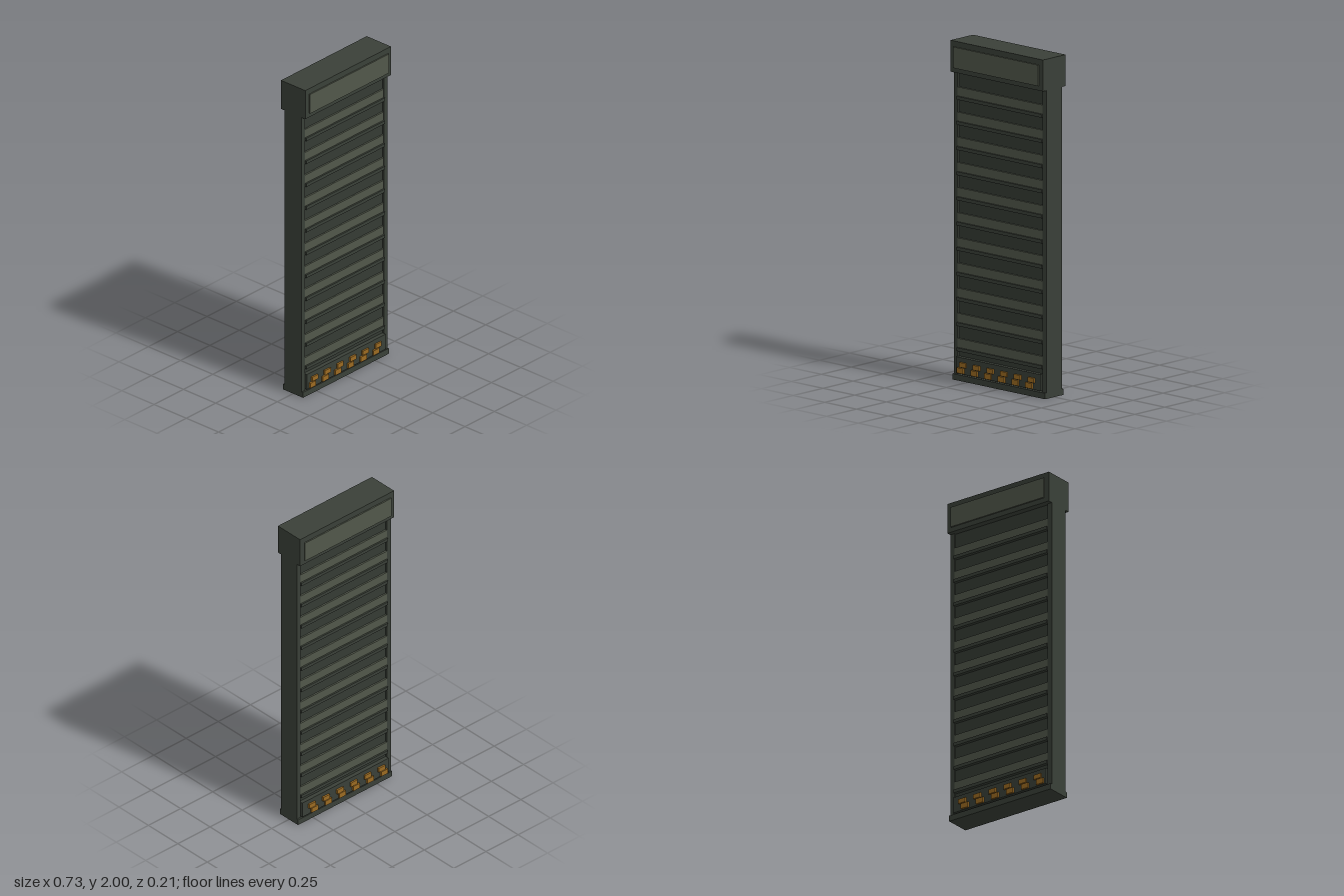
import * as THREE from 'three';

const paint = (color) => new THREE.MeshStandardMaterial({ color });

export function createModel() {
  const model = new THREE.Group();
  const dark = paint(0x3a4038);
  const deep = paint(0x353b34);
  const light = paint(0x51574a);
  const amber = paint(0x9c6b22);

  // Box given by its centre x, width, y range and z range
  function box(name, material, x, width, y0, y1, z0, z1) {
    const mesh = new THREE.Mesh(new THREE.BoxGeometry(width, y1 - y0, z1 - z0), material);
    mesh.position.set(x, (y0 + y1) / 2, (z0 + z1) / 2);
    mesh.name = name;
    model.add(mesh);
  }

  // The same box on the front and the back
  function bothFaces(name, material, x, width, y0, y1, z0, z1) {
    box(name + 'Front', material, x, width, y0, y1, z0, z1);
    box(name + 'Back', material, x, width, y0, y1, -z1, -z0);
  }

  // Frame: sill, side rails and top housing
  box('sill', dark, 0, 0.73, 0, 0.035, -0.077, 0.077);
  box('leftRail', dark, 0.35, 0.03, 0.035, 1.815, -0.066, 0.066);
  box('rightRail', dark, -0.35, 0.03, 0.035, 1.815, -0.066, 0.066);
  box('housing', dark, 0, 0.73, 1.815, 2, -0.094, 0.094);
  bothFaces('housingPanel', light, 0, 0.67, 1.843, 1.967, 0.097, 0.105);

  // Shutter curtain with repeated light slats and projecting lips
  box('curtain', deep, 0, 0.67, 0.043, 1.815, -0.055, 0.055);
  for (let i = 0; i < 11; i++) {
    const y = 1.662 - i * 0.148;
    bothFaces('slat', light, 0, 0.67, y + 0.01, y + 0.063, 0.054, 0.065);
    bothFaces('slatLip', dark, 0, 0.67, y - 0.01, y + 0.01, 0.054, 0.075);
  }

  // Bottom bar with staggered warning blocks
  bothFaces('bottomBar', dark, 0, 0.67, 0.043, 0.14, 0.054, 0.08);
  for (let i = 0; i < 6; i++) {
    const x = -0.294 + i * 0.108;
    bothFaces('lowerWarningBlock', amber, x, 0.05, 0.048, 0.08, 0.079, 0.091);
    bothFaces('upperWarningBlock', amber, x + 0.018, 0.05, 0.085, 0.113, 0.079, 0.091);
  }

  return model;
}
